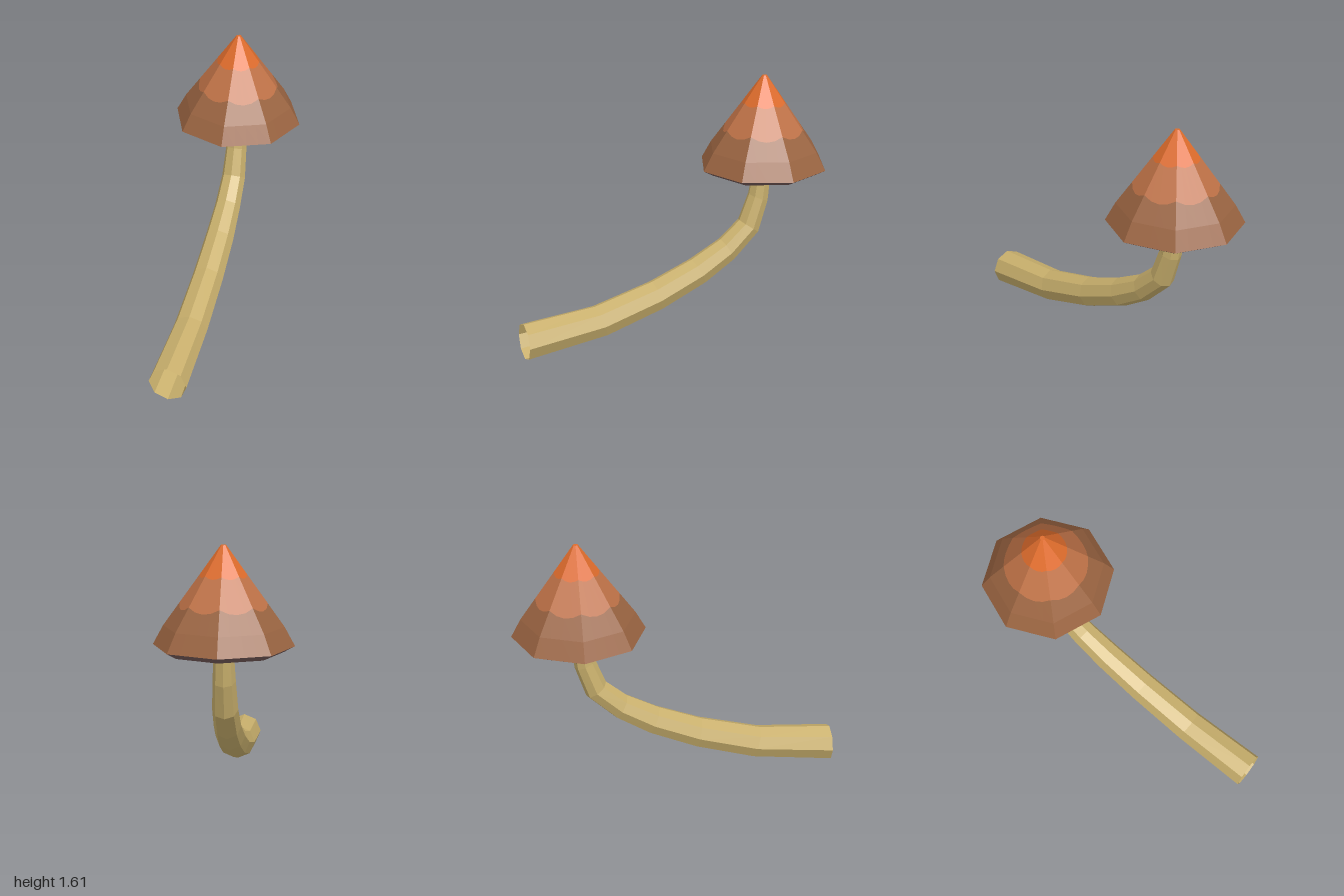
import * as THREE from 'three';

const SIDES = 8;
const CAP_Z = -0.595;

function material(name, color, side = THREE.FrontSide) {
  const m = new THREE.MeshStandardMaterial({ color, side, flatShading: true });
  m.name = name;
  return m;
}

// Skins closed rings of points, listed from top to bottom
function loft(name, rings, mat) {
  const pos = [];
  for (let i = 0; i < rings.length - 1; i++) {
    const n = rings[i].length;
    for (let j = 0; j < n; j++) {
      const k = (j + 1) % n;
      const a = rings[i][j], b = rings[i + 1][j], c = rings[i + 1][k], d = rings[i][k];
      for (const p of [a, b, c, a, c, d]) pos.push(p.x, p.y, p.z);
    }
  }
  const geo = new THREE.BufferGeometry();
  geo.setAttribute('position', new THREE.Float32BufferAttribute(pos, 3));
  geo.computeVertexNormals();
  const mesh = new THREE.Mesh(geo, mat);
  mesh.name = name;
  return mesh;
}

// Plain octagonal ring of the cap, with extra points along each side
const STEPS = SIDES * 4;
const HALF = Math.PI / SIDES;
const facet = (t) => Math.cos(HALF) / Math.cos((t % (2 * HALF)) - HALF);

function capRing(radiusAt, heightAt) {
  return Array.from({ length: STEPS }, (_, j) => {
    const t = ((j + 0.0001) / STEPS) * Math.PI * 2;
    const corner = radiusAt(t);
    const r = corner * facet(t);
    return new THREE.Vector3(r * Math.sin(t), heightAt(corner), r * Math.cos(t));
  });
}
const octagon = (r, y) => capRing(() => r, () => y);

// Colour border: a true circle laid on the sloping facets
const TIP = [0.015, 1.61], SHOULDER = [0.345, 1.15];
const slope = (TIP[1] - SHOULDER[1]) / (SHOULDER[0] - TIP[0]);
const border = (radius) => capRing((t) => radius / facet(t), (r) => TIP[1] - (r - TIP[0]) * slope);

export function createModel() {
  const model = new THREE.Group();
  model.name = 'mushroom';

  const stemMat = material('straw stem', 0xc8af6c, THREE.DoubleSide);
  const tipMat = material('bright orange', 0xde6c2c);
  const midMat = material('soft orange', 0xbf7247);
  const brownMat = material('warm brown', 0x9a6441);
  const underMat = material('dark underside', 0x755a59);

  // Cap in three colour bands, with a shallow conical underside
  const cap = new THREE.Group();
  cap.name = 'cap';
  cap.position.z = CAP_Z;
  cap.add(
    loft('capTip', [octagon(0.001, TIP[1]), octagon(...TIP), border(0.133)], tipMat),
    loft('capMiddle', [border(0.133), border(0.25)], midMat),
    loft('capSkirt', [border(0.25), octagon(...SHOULDER), octagon(0.405, 1.04)], brownMat),
    loft('capUnderside', [octagon(0.405, 1.04), octagon(0.34, 1.005), octagon(0.001, 0.98)], underMat),
  );
  model.add(cap);

  // Curved stem, open at its base: inner z, y and outer z, y of each section
  const sections = [
    [-0.538, 1.02, -0.652, 1.01],
    [-0.505, 0.85, -0.63, 0.8],
    [-0.44, 0.685, -0.565, 0.597],
    [-0.31, 0.575, -0.39, 0.43],
    [-0.11, 0.47, -0.19, 0.305],
    [0.16, 0.365, 0.11, 0.175],
    [0.54, 0.265, 0.48, 0.065],
    [1.0, 0.23, 1.0, 0.0],
  ];
  const rings = sections.map(([z1, y1, z2, y2]) => {
    const r = Math.hypot(z1 - z2, y1 - y2) / 2;
    return Array.from({ length: SIDES }, (_, j) => {
      const t = (j / SIDES) * Math.PI * 2, c = Math.cos(t);
      return new THREE.Vector3(
        r * Math.sin(t),
        (y1 + y2) / 2 + ((y1 - y2) / 2) * c,
        (z1 + z2) / 2 + ((z1 - z2) / 2) * c,
      );
    });
  });
  model.add(loft('stem', rings, stemMat));

  return model;
}
